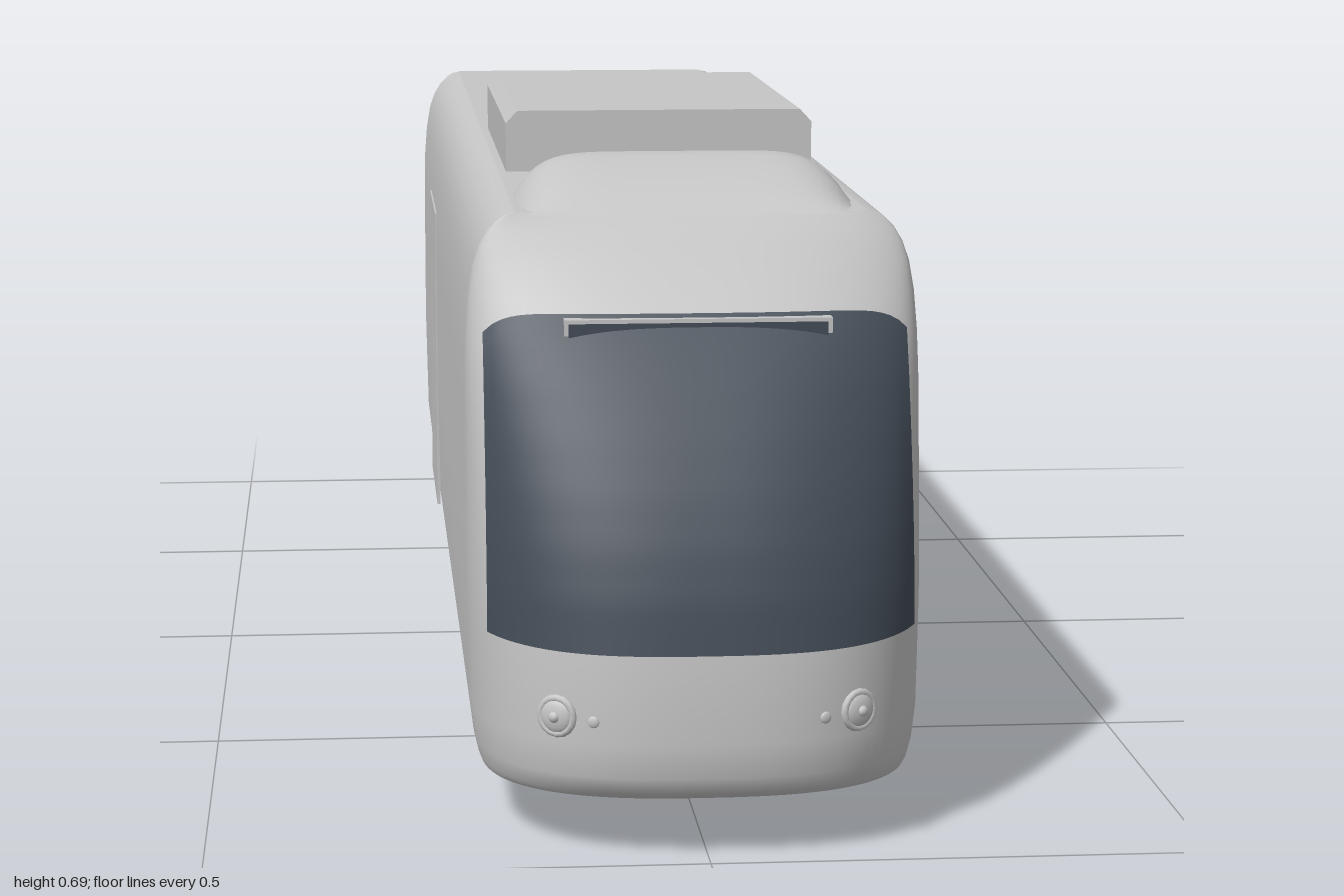
import * as THREE from 'three';

const bodyGrey = new THREE.MeshStandardMaterial({ color: 0xc6c6c6 });
bodyGrey.name = 'bodyGrey';
const glassDark = new THREE.MeshStandardMaterial({ color: 0x434c57 });
glassDark.name = 'glassDark';

// linear lookup in a list of [key, value, value...] rows
function lookup(table, k, col = 1) {
  let i = 1;
  while (i < table.length - 1 && table[i][0] < k) i++;
  const a = table[i - 1], b = table[i];
  const t = Math.min(1, Math.max(0, (k - a[0]) / (b[0] - a[0])));
  return a[col] + (b[col] - a[col]) * t;
}

// smooth surface patch: fn(i, j) gives [x, y, z]
function patch(nu, nv, fn) {
  const pos = [], idx = [], n = nu + 1;
  for (let j = 0; j <= nv; j++) for (let i = 0; i <= nu; i++) pos.push(...fn(i, j));
  for (let j = 0; j < nv; j++) for (let i = 0; i < nu; i++) {
    const a = j * n + i;
    idx.push(a, a + n, a + 1, a + 1, a + n, a + n + 1);
  }
  const g = new THREE.BufferGeometry();
  g.setAttribute('position', new THREE.Float32BufferAttribute(pos, 3));
  g.setIndex(idx);
  g.computeVertexNormals();
  return g;
}

// body slices: height, half width, nose tip z
const SLICES = [
  [0.06, 0.219, 0.975], [0.068, 0.222, 0.988], [0.085, 0.226, 0.996], [0.12, 0.23, 1.0],
  [0.21, 0.232, 0.996], [0.26, 0.233, 0.987], [0.31, 0.233, 0.972], [0.36, 0.233, 0.951],
  [0.41, 0.233, 0.925], [0.46, 0.233, 0.895], [0.5, 0.232, 0.867], [0.54, 0.229, 0.836],
  [0.57, 0.224, 0.815], [0.59, 0.217, 0.802], [0.605, 0.208, 0.792], [0.615, 0.198, 0.785],
  [0.62, 0.19, 0.782], [0.622, 0.18, 0.78],
];
const SHOULDER = 0.78, POWER = 2.6, NOSE_STEPS = 48;

function noseZ(x, y) {
  const u = Math.min(1, Math.abs(x) / lookup(SLICES, y));
  return SHOULDER + (lookup(SLICES, y, 2) - SHOULDER) * Math.pow(1 - Math.pow(u, POWER), 1 / POWER);
}

// plan outline of one slice, from back left round the nose to back right
function outline([, w, tip]) {
  const pts = [[w - 0.006, -1], [w, -0.99]];
  for (let i = 0; i <= NOSE_STEPS; i++) {
    const a = (Math.PI * i) / NOSE_STEPS, c = Math.cos(a), s = Math.max(0, Math.sin(a));
    pts.push([Math.sign(c) * w * Math.pow(Math.abs(c), 2 / POWER),
      SHOULDER + (tip - SHOULDER) * Math.pow(s, 2 / POWER)]);
  }
  pts.push([-w, -0.99], [-w + 0.006, -1]);
  return pts;
}

export function createModel() {
  const model = new THREE.Group();
  const add = (name, geometry, material = bodyGrey, x = 0, y = 0, z = 0, parent = model) => {
    const m = new THREE.Mesh(geometry, material);
    m.name = name;
    m.position.set(x, y, z);
    parent.add(m);
    return m;
  };
  const box = (name, w, h, d, x, y, z, mat) => add(name, new THREE.BoxGeometry(w, h, d), mat, x, y, z);
  const flat = (pts) => new THREE.ShapeGeometry(new THREE.Shape(pts.map((p) => new THREE.Vector2(p[0], p[1]))));

  // body shell, roof, floor and rear wall
  const rings = SLICES.map(outline);
  add('bodyShell', patch(rings[0].length - 1, rings.length - 1,
    (i, j) => [rings[j][i][0], SLICES[j][0], rings[j][i][1]]));
  const top = [[0.18, -1], [0.18, SHOULDER], [-0.18, SHOULDER], [-0.18, -1]];
  add('roof', flat(top.map(([x, z]) => [x, -z])).rotateX(-Math.PI / 2), bodyGrey, 0, 0.622, 0);
  add('floor', flat(rings[0]).rotateX(Math.PI / 2), bodyGrey, 0, 0.06, 0);
  const side = SLICES.map(([y, w]) => [w - 0.006, y]);
  add('rearWall', flat([...side, ...side.map(([x, y]) => [-x, y]).reverse()]).rotateY(Math.PI),
    bodyGrey, 0, 0, -1);

  // wraparound windscreen, just proud of the nose
  add('windscreen', patch(48, 24, (i, j) => {
    const u = 1 - i / 24;
    const low = 0.21 + 0.005 * u ** 4, high = 0.527 - 0.02 * u ** 12;
    const x = u * 0.213, y = low + ((high - low) * j) / 24;
    return [x * 1.012, y, noseZ(x, y) + 0.004];
  }), glassDark);

  // destination display with its light frame
  box('displayPanel', 0.262, 0.014, 0.02, 0, 0.512, 0.85, glassDark);
  box('displayFrameTop', 0.27, 0.004, 0.025, 0, 0.521, 0.85);
  for (const s of [1, -1]) box('displayFrameEnd', 0.004, 0.016, 0.03, s * 0.133, 0.515, 0.847);

  // headlights and small marker lamps
  for (const s of [1, -1]) {
    for (const [name, x, y, r] of [['headlight', 0.15, 0.145, 0.018], ['markerLamp', 0.115, 0.142, 0.006]]) {
      const lamp = new THREE.Group();
      lamp.name = name;
      const slope = (noseZ(x + 0.01, y) - noseZ(x - 0.01, y)) / 0.02;
      lamp.position.set(s * x, y, noseZ(x, y));
      lamp.rotation.y = -s * Math.atan(slope);
      model.add(lamp);
      const lens = add('lens', new THREE.SphereGeometry(r, 16, 10), bodyGrey, 0, 0, 0, lamp);
      lens.scale.z = 0.4;
      if (name === 'headlight') {
        add('rim', new THREE.TorusGeometry(r, 0.004, 8, 16), bodyGrey, 0, 0, 0, lamp);
        add('bulb', new THREE.SphereGeometry(0.006, 10, 8), bodyGrey, 0, 0, 0.005, lamp);
      }
    }
  }

  // rounded fairing above the cab: z, height, half width
  const FAIRING = [
    [0.575, 0, 0.145], [0.58, 0.018, 0.157], [0.588, 0.032, 0.165], [0.6, 0.042, 0.172],
    [0.62, 0.047, 0.176], [0.65, 0.045, 0.177], [0.7, 0.036, 0.176], [0.75, 0.022, 0.171],
    [0.775, 0.01, 0.168], [0.79, 0, 0.165],
  ].reverse();
  add('cabFairing', patch(40, FAIRING.length - 1, (i, j) => {
    const u = 1 - i / 20, [z, h, w] = FAIRING[j];
    return [u * w, 0.62 + h * (1 - Math.abs(u) ** 7), z];
  }));

  // roof equipment box with chamfered top edges
  const half = [[0.172, 0.615], [0.172, 0.676], [0.159, 0.69]];
  const unit = new THREE.Shape([...half, ...half.map(([x, y]) => [-x, y]).reverse()]
    .map(([x, y]) => new THREE.Vector2(x, y)));
  add('roofUnit', new THREE.ExtrudeGeometry(unit, { depth: 0.51, bevelEnabled: false }), bodyGrey, 0, 0, -0.115);

  // sliding door leaves on both sides, with a narrow gap between
  for (const s of [1, -1]) for (const z of [-0.379, -0.516]) {
    box('doorLeaf', 0.004, 0.39, 0.133, s * 0.2325, 0.295, z);
  }

  // flanged wheels, axles and bogie rails
  const profile = [[0, 0.142], [0.05, 0.147], [0.066, 0.153], [0.066, 0.156], [0.058, 0.16],
    [0.055, 0.172], [0.045, 0.176], [0, 0.168]].map(([r, t]) => new THREE.Vector2(r, t));
  for (const z of [0.52, 0.14]) {
    for (const s of [1, -1]) {
      add('wheel', new THREE.LatheGeometry(profile, 32), bodyGrey, 0, 0.066, z).rotation.z = (-s * Math.PI) / 2;
    }
    box('axle', 0.3, 0.008, 0.012, 0, 0.059, z);
  }
  for (const s of [1, -1]) box('bogieRail', 0.01, 0.008, 0.38, s * 0.145, 0.059, 0.33);

  return model;
}
